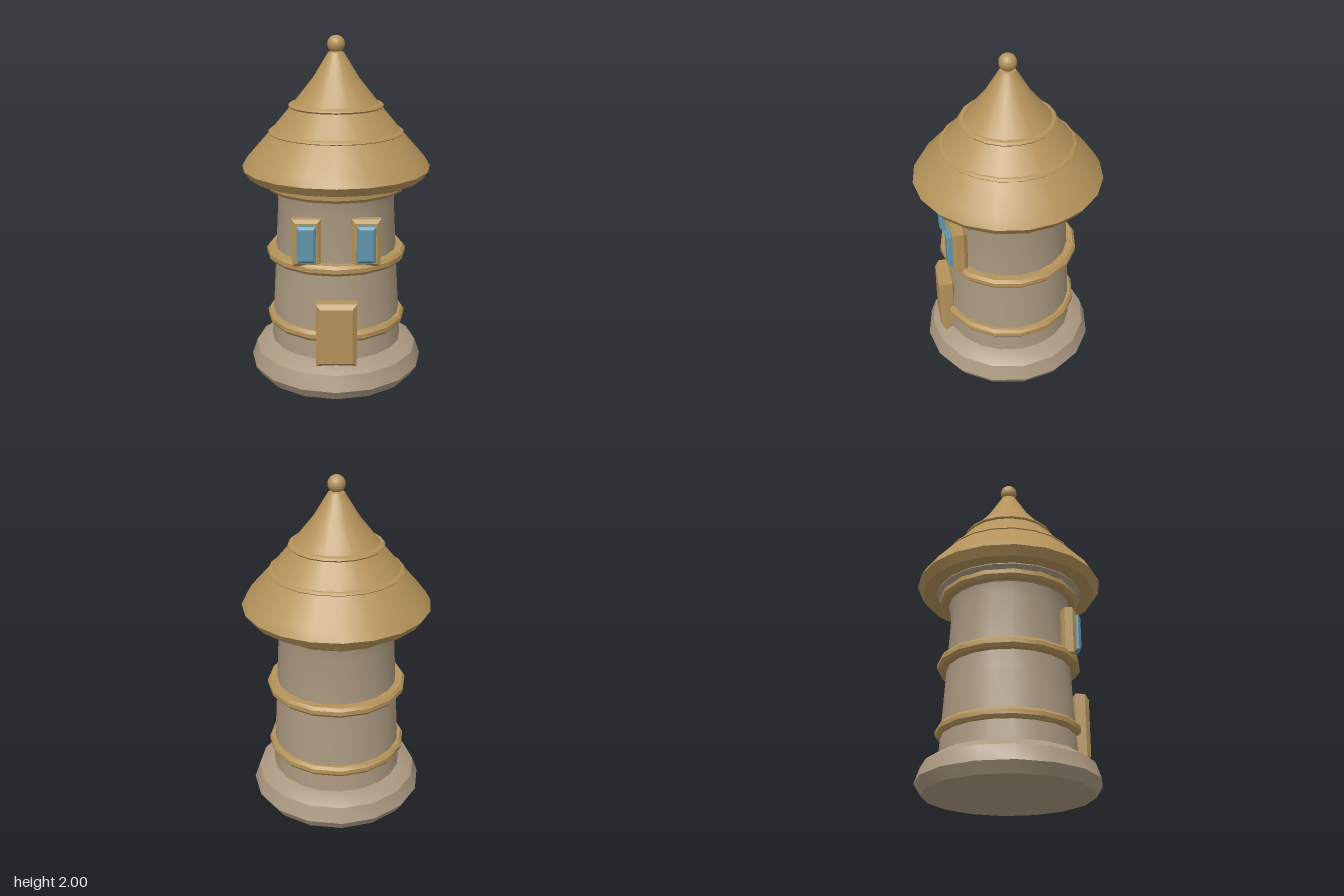
import * as THREE from 'three';
import { toCreasedNormals } from 'three/addons/utils/BufferGeometryUtils.js';

const wood = new THREE.MeshStandardMaterial({ name: 'tanWood', color: 0xb5935a });
const stone = new THREE.MeshStandardMaterial({ name: 'paleStone', color: 0xab9981 });
const glass = new THREE.MeshStandardMaterial({ name: 'blueGlass', color: 0x5f96ac });

function part(name, geometry, material) {
  const mesh = new THREE.Mesh(geometry, material);
  mesh.name = name;
  return mesh;
}

// Turned part from [radius, y] pairs listed upwards
function turned(name, profile, sides, material) {
  const points = profile.map(([r, y]) => new THREE.Vector2(r, y));
  return part(name, toCreasedNormals(new THREE.LatheGeometry(points, sides), 0.6), material);
}

// Block with chamfered edges, given by its extents
function chamferedBlock(name, [x0, x1], [y0, y1], [z0, z1], c, material) {
  const w = (x1 - x0) / 2 - c, h = (y1 - y0) / 2 - c;
  const shape = new THREE.Shape([
    new THREE.Vector2(-w, -h), new THREE.Vector2(w, -h),
    new THREE.Vector2(w, h), new THREE.Vector2(-w, h),
  ]);
  const geometry = new THREE.ExtrudeGeometry(shape, {
    depth: z1 - z0 - 2 * c, bevelEnabled: true, bevelSegments: 1, bevelSize: c, bevelThickness: c,
  });
  geometry.translate((x0 + x1) / 2, (y0 + y1) / 2, z0 + c);
  return part(name, geometry, material);
}

export function createModel() {
  const tower = new THREE.Group();
  tower.name = 'tower';

  // Stone foot and tapering wall that flares under the roof
  tower.add(turned('foot', [
    [0, 0], [0.478, 0], [0.516, 0.06], [0.485, 0.15], [0.41, 0.2], [0, 0.2],
  ], 16, stone));
  tower.add(turned('wall', [
    [0.39, 0.18], [0.365, 0.6], [0.34, 1.05], [0.355, 1.13], [0.43, 1.2], [0.43, 1.22],
  ], 20, stone));

  // Wooden hoops around the wall
  for (const y of [0.345, 0.745, 1.165]) {
    tower.add(turned('hoop', [
      [0.33, y - 0.03], [0.398, y - 0.03], [0.412, y - 0.012],
      [0.412, y + 0.012], [0.398, y + 0.03], [0.33, y + 0.03],
    ], 16, wood));
  }

  // Roof, its two raised rings and the finial
  tower.add(turned('roof', [
    [0, 1.205], [0.51, 1.205], [0.545, 1.255], [0.512, 1.31], [0.375, 1.465],
    [0.25, 1.615], [0.13, 1.765], [0.045, 1.905], [0, 1.92],
  ], 20, wood));
  for (const [r, y] of [[0.39, 1.46], [0.274, 1.61]]) {
    tower.add(turned('roofRing', [
      [r - 0.05, y - 0.012], [r - 0.008, y - 0.012], [r, y - 0.003],
      [r - 0.005, y + 0.006], [r - 0.015, y + 0.012], [r - 0.05, y + 0.012],
    ], 20, wood));
  }
  const finial = part('finial', new THREE.SphereGeometry(0.05, 16, 12), wood);
  finial.position.y = 1.95;
  tower.add(finial);

  // Door standing on the foot
  tower.add(chamferedBlock('door', [-0.116, 0.116], [0.18, 0.558], [0.34, 0.444], 0.025, wood));

  // Pair of upper windows
  for (const x of [-0.166, 0.166]) {
    const window = new THREE.Group();
    window.name = x > 0 ? 'leftWindow' : 'rightWindow';
    window.add(
      chamferedBlock('frame', [x - 0.081, x + 0.081], [0.757, 1.032], [0.28, 0.365], 0.02, wood),
      chamferedBlock('pane', [x - 0.053, x + 0.053], [0.788, 1.0], [0.32, 0.396], 0.015, glass),
    );
    tower.add(window);
  }
  return tower;
}
